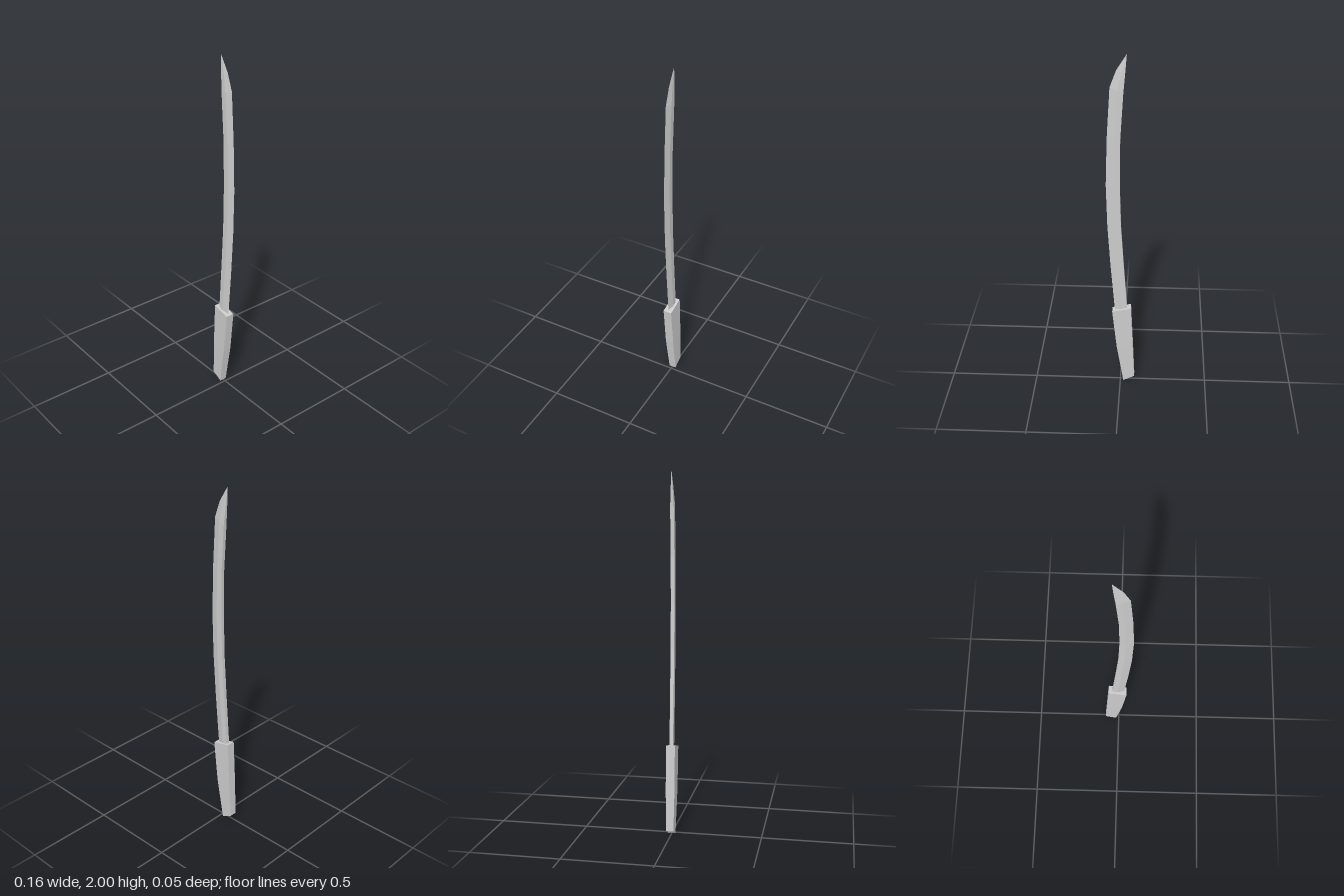
import * as THREE from 'three';

// Lofts a solid through rings of [x, y, z] points, each running counterclockwise seen from above.
function loft(rings) {
  const n = rings[0].length;
  const positions = [];
  const tri = (a, b, c) => positions.push(...a, ...b, ...c);
  for (let i = 0; i < rings.length - 1; i++) {
    for (let j = 0; j < n; j++) {
      const k = (j + 1) % n;
      tri(rings[i][j], rings[i][k], rings[i + 1][k]);
      tri(rings[i][j], rings[i + 1][k], rings[i + 1][j]);
    }
  }
  // End caps
  const bottom = rings[0];
  const top = rings[rings.length - 1];
  for (let j = 1; j < n - 1; j++) {
    tri(bottom[0], bottom[j + 1], bottom[j]);
    tri(top[0], top[j], top[j + 1]);
  }
  const geometry = new THREE.BufferGeometry();
  geometry.setAttribute('position', new THREE.Float32BufferAttribute(positions, 3));
  geometry.computeVertexNormals();
  return geometry;
}

// Flat spine, widest to the ridge, then a bevel down to the cutting edge.
function bladeRing([spineX, spineY, edgeX, edgeY, half]) {
  const t = 0.45;
  const ridgeX = THREE.MathUtils.lerp(spineX, edgeX, t);
  const ridgeY = THREE.MathUtils.lerp(spineY, edgeY, t);
  return [
    [spineX, spineY, half * 0.9],
    [ridgeX, ridgeY, half],
    [edgeX, edgeY, 0],
    [ridgeX, ridgeY, -half],
    [spineX, spineY, -half * 0.9],
  ];
}

// Four-sided grip section, tilted across its width.
function handleRing([backX, backY, frontX, frontY, half]) {
  return [
    [backX, backY, half],
    [frontX, frontY, half],
    [frontX, frontY, -half],
    [backX, backY, -half],
  ];
}

export function createModel() {
  const group = new THREE.Group();
  group.name = 'sword';
  const material = new THREE.MeshStandardMaterial({ color: 0xcccccc, flatShading: true });

  const add = (name, rings) => {
    const mesh = new THREE.Mesh(loft(rings), material);
    mesh.name = name;
    group.add(mesh);
  };

  // Curved blade: spine x, y, edge x, y, half thickness
  add('blade', [
    [-0.04, 0.48, 0.03, 0.47, 0.011],
    [-0.018, 0.8, 0.055, 0.78, 0.011],
    [-0.003, 1.04, 0.071, 1.03, 0.011],
    [0.003, 1.28, 0.078, 1.28, 0.011],
    [0.001, 1.54, 0.071, 1.55, 0.011],
    [-0.015, 1.8, 0.055, 1.825, 0.011],
    [-0.024, 1.9, 0.022, 1.915, 0.006],
    [-0.032, 2, -0.032, 2, 0],
  ].map(bladeRing));

  // Tapered handle: back x, y, front x, y, half thickness
  add('handle', [
    [-0.082, 0.033, -0.018, 0, 0.0205],
    [-0.072, 0.26, 0.02, 0.24, 0.0245],
    [-0.06, 0.515, 0.046, 0.49, 0.0245],
  ].map(handleRing));

  return group;
}
